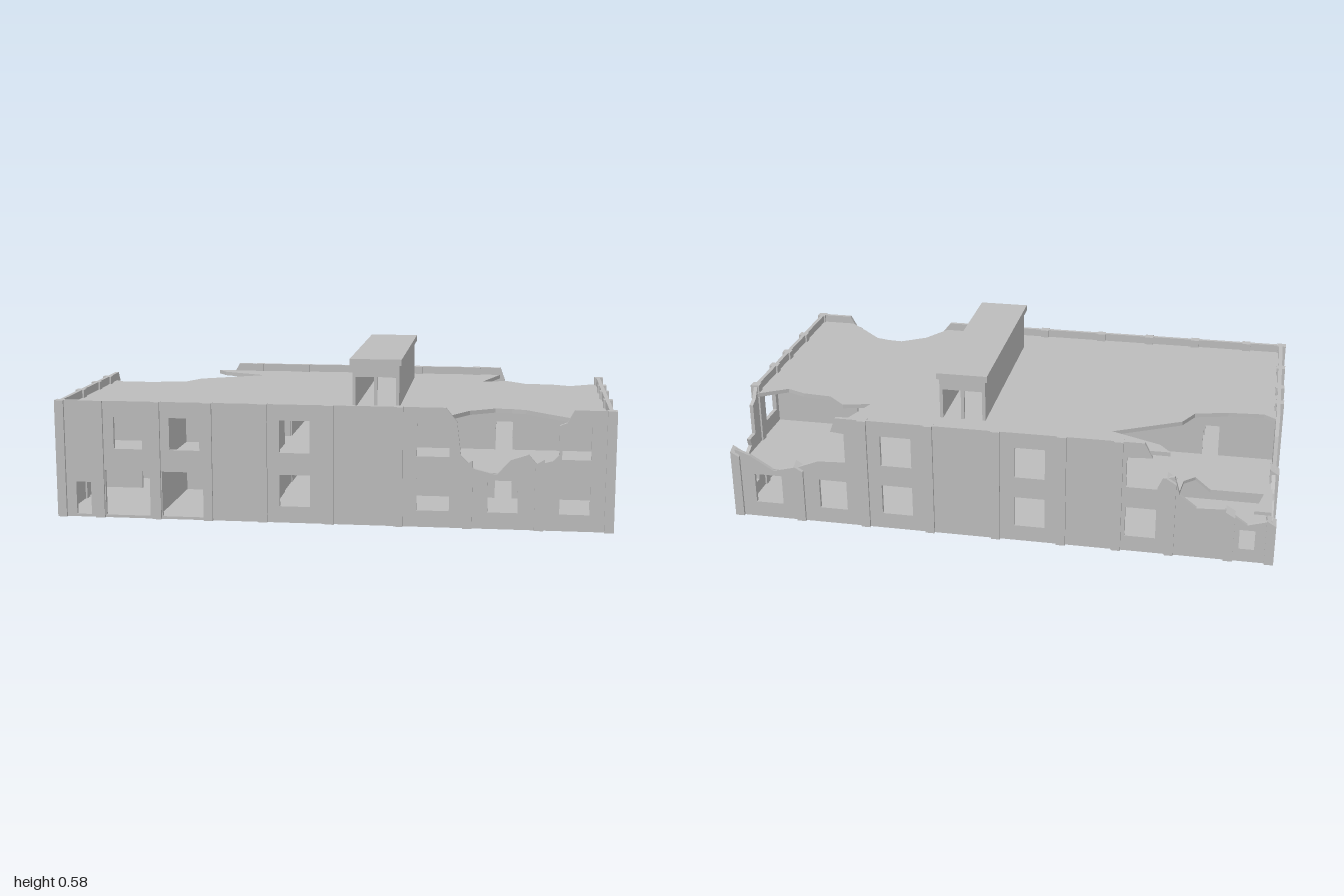
import * as THREE from 'three';

const concrete = new THREE.MeshStandardMaterial({ color: 0xbcbcbc });
concrete.name = 'concrete grey';

const TOP = 0.43, THICK = 0.014;
const LOW = [0.06, 0.175], HIGH = [0.255, 0.372];

// Flat plate from an outline and rectangular openings [u0, u1, y0, y1]
function plate(points, rects, depth) {
  const shape = new THREE.Shape(points.map(p => new THREE.Vector2(p[0], p[1])));
  for (const [a, b, c, d] of rects) {
    shape.holes.push(new THREE.Path([[a, c], [a, d], [b, d], [b, c]].map(p => new THREE.Vector2(p[0], p[1]))));
  }
  return new THREE.ExtrudeGeometry(shape, { depth, bevelEnabled: false });
}

export function createModel() {
  const model = new THREE.Group();
  model.name = 'ruinedBuilding';

  const add = (name, geometry, parent = model) => {
    const mesh = new THREE.Mesh(geometry, concrete);
    mesh.name = name;
    parent.add(mesh);
    return mesh;
  };
  const box = (name, x0, x1, y0, y1, z0, z1, parent) => {
    const g = new THREE.BoxGeometry(x1 - x0, y1 - y0, z1 - z0);
    g.translate((x0 + x1) / 2, (y0 + y1) / 2, (z0 + z1) / 2);
    return add(name, g, parent);
  };
  // Wall running along x at a given z
  const wallX = (name, z, points, rects, t = THICK) =>
    add(name, plate(points, rects, t).translate(0, 0, z - t / 2));
  // Wall running along z at a given x
  const wallZ = (name, x, points, rects, t = THICK) =>
    add(name, plate(points, rects, t).translate(0, 0, -t / 2).rotateY(-Math.PI / 2).translate(x, 0, 0));
  // Horizontal slab with its upper side at y, outline in (x, z)
  const slab = (name, y, points, holes, t) => {
    const shape = new THREE.Shape(points.map(p => new THREE.Vector2(...p)));
    for (const h of holes) shape.holes.push(new THREE.Path(h.map(p => new THREE.Vector2(...p))));
    const g = new THREE.ExtrudeGeometry(shape, { depth: t, bevelEnabled: false });
    add(name, g.rotateX(Math.PI / 2).translate(0, y, 0));
  };
  const both = (a, b) => [[a, b, ...LOW], [a, b, ...HIGH]];

  // Outer walls, with broken top edges
  wallX('frontWall', 0.515, [
    [-0.985, 0], [0.985, 0], [0.985, TOP], [0.855, TOP], [0.83, 0.385], [0.805, 0.375], [0.805, 0.27],
    [0.785, 0.25], [0.73, 0.235], [0.70, 0.27], [0.64, 0.25], [0.59, 0.195], [0.51, 0.215],
    [0.465, 0.26], [0.45, 0.38], [0.41, TOP], [-0.985, TOP],
  ], [
    [-0.93, -0.875, 0.01, 0.13], [-0.82, -0.655, 0.01, 0.175], [-0.61, -0.44, 0.01, 0.175],
    [-0.785, -0.68, ...HIGH], [-0.58, -0.47, ...HIGH],
    ...both(-0.18, -0.07), ...both(0.31, 0.425),
    [0.56, 0.665, ...LOW], [0.81, 0.915, ...LOW], [0.815, 0.915, ...HIGH],
  ]);
  wallX('backWall', -0.515, [
    [-0.985, 0], [0.985, 0], [0.985, 0.27], [0.93, 0.25], [0.84, 0.195], [0.74, 0.22], [0.665, 0.25],
    [0.56, 0.255], [0.56, 0.37], [0.61, 0.375], [0.59, TOP], [-0.53, TOP], [-0.56, 0.375], [-0.47, 0.37],
    [-0.47, 0.255], [-0.58, 0.255], [-0.6, 0.3], [-0.64, 0.31], [-0.66, 0.24], [-0.72, 0.195],
    [-0.82, 0.2], [-0.9, 0.145], [-0.985, 0.17],
  ], [
    ...both(-0.18, -0.07), ...both(0.31, 0.425), [-0.58, -0.47, ...LOW],
    [0.56, 0.665, ...LOW], [0.81, 0.915, ...LOW], [-0.93, -0.875, 0.05, 0.125],
  ]);
  wallZ('rightWall', 0.98, [
    [0.515, 0], [0.515, TOP], [-0.285, TOP], [-0.315, 0.385], [-0.345, 0.372], [-0.345, 0.255],
    [-0.40, 0.255], [-0.39, 0.225], [-0.45, 0.195], [-0.49, 0.22], [-0.515, 0.27], [-0.515, 0],
  ], [
    ...both(0.345, 0.455), ...both(0.115, 0.225), ...both(-0.225, -0.115),
    [-0.455, -0.345, ...LOW], [-0.03, 0.03, ...HIGH], [-0.03, 0.03, 0.01, 0.125],
  ]);
  wallZ('leftWall', -0.98, [
    [0.515, 0], [0.515, TOP], [-0.19, TOP], [-0.23, 0.36], [-0.27, 0.25], [-0.35, 0.19],
    [-0.42, 0.2], [-0.515, 0.17], [-0.515, 0],
  ], [[0.345, 0.455, ...HIGH], [-0.03, 0.03, ...HIGH]]);

  // Pilasters: snapped ones get a slanted top
  const pilasters = new THREE.Group();
  pilasters.name = 'pilasters';
  model.add(pilasters);
  const pilaster = (x, z, h = TOP) => {
    const r = 0.0165;
    const g = new THREE.BoxGeometry(2 * r, h, 2 * r).translate(x, h / 2, z);
    if (h < TOP) {
      const p = g.attributes.position;
      for (let i = 0; i < p.count; i++) {
        if (p.getY(i) > 0.01) p.setY(i, h + (p.getX(i) - x) * 0.6 + (p.getZ(i) - z) * 0.4);
      }
      g.computeVertexNormals();
    }
    add('pilaster', g, pilasters);
  };
  const frontBreaks = { 0.49: 0.23, 0.74: 0.24 };
  const backBreaks = { 0.74: 0.22, 0.983: 0.26, '-0.63': 0.3, '-0.84': 0.19, '-0.983': 0.17 };
  for (const x of [-0.983, -0.84, -0.63, -0.44, -0.24, 0, 0.245, 0.49, 0.74, 0.983]) {
    pilaster(x, 0.515, frontBreaks[x]);
    pilaster(x, -0.515, backBreaks[x]);
  }
  for (const z of [-0.273, -0.073, 0.073, 0.273]) {
    pilaster(0.983, z);
    pilaster(-0.983, z, z < -0.2 ? 0.25 : TOP);
  }

  // Ground slab, upper floor and roof
  box('groundSlab', -0.985, 0.985, 0, 0.01, -0.518, 0.518);
  slab('upperFloor', 0.2, [[-0.98, 0.515], [0.98, 0.515], [0.98, -0.515], [-0.71, -0.515], [-0.65, -0.44],
    [-0.66, -0.33], [-0.70, -0.29], [-0.76, -0.38], [-0.95, -0.38], [-0.92, -0.515], [-0.98, -0.515]], [], 0.012);
  slab('roof', 0.4, [
    [-0.98, 0.515], [0.42, 0.515], [0.49, 0.40], [0.58, 0.34], [0.64, 0.345], [0.69, 0.36], [0.77, 0.44],
    [0.85, 0.515], [0.98, 0.515], [0.98, -0.30], [0.87, -0.23], [0.80, -0.26], [0.69, -0.27], [0.62, -0.335],
    [0.52, -0.31], [0.59, -0.515], [-0.62, -0.515], [-0.58, -0.46], [-0.40, -0.38], [-0.64, -0.25],
    [-0.68, -0.17], [-0.80, -0.14], [-0.93, -0.13], [-0.98, -0.17],
  ], [], 0.015);

  // Corridor walls with doorways, open at the stair hall
  for (const z of [-0.085, 0.085]) {
    wallX('corridorWallLeft', z, [[-0.975, 0.005], [-0.24, 0.005], [-0.24, 0.39], [-0.975, 0.39]],
      [[-0.77, -0.71, 0.2, 0.32], ...(z > 0 ? [[-0.805, -0.75, 0.01, 0.13]] : [])], 0.012);
    wallX('corridorWallRight', z, [[0, 0.005], [0.975, 0.005], [0.975, 0.39], [0, 0.39]],
      [[0.58, 0.645, 0.01, 0.13], [0.58, 0.645, 0.2, 0.32]], 0.012);
  }
  box('corridorEnd', -0.25, -0.238, 0.005, 0.19, -0.085, 0.085);

  // Room partitions
  for (const x of [-0.24, 0, 0.245]) {
    for (const s of [-1, 1]) {
      box('partition', x - 0.006, x + 0.006, 0.005, 0.39, s > 0 ? 0.085 : -0.51, s > 0 ? 0.51 : -0.085);
    }
  }
  box('garagePartition', -0.636, -0.624, 0.005, 0.39, 0.085, 0.51);

  // Rooftop housing with open ends
  const housing = new THREE.Group();
  housing.name = 'rooftopHousing';
  model.add(housing);
  for (const x of [0.065, 0.223]) box('housingSide', x, x + 0.012, 0.395, 0.556, -0.377, 0.377, housing);
  for (const z of [-0.377, 0.365]) {
    box('housingLintel', 0.077, 0.223, 0.512, 0.556, z, z + 0.012, housing);
    box('housingPost', 0.144, 0.156, 0.395, 0.512, z, z + 0.012, housing);
  }
  box('housingCap', 0.056, 0.244, 0.555, 0.578, -0.388, 0.388, housing);

  return model;
}
